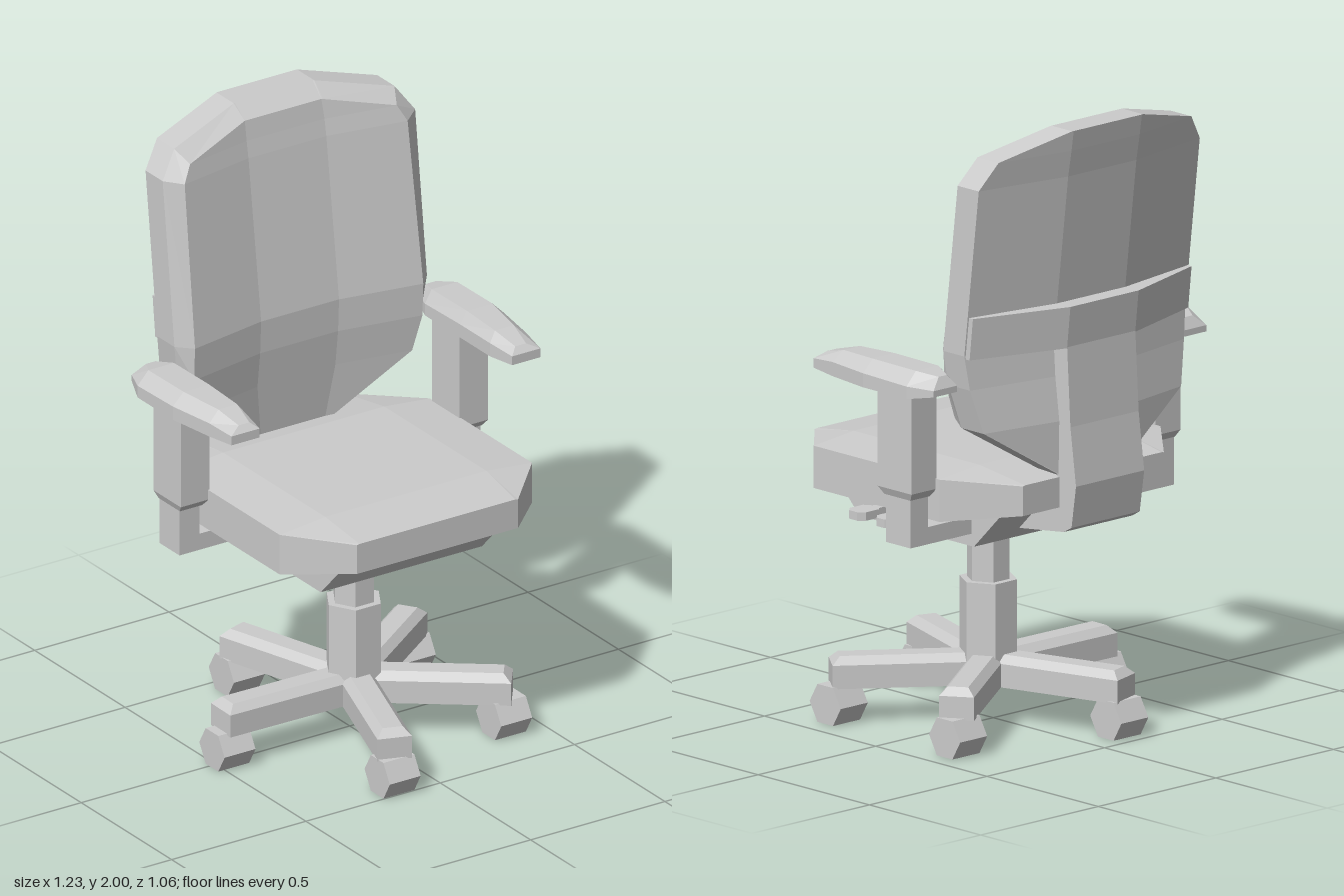
import * as THREE from 'three';

const grey = new THREE.MeshStandardMaterial({ color: 0xcccccc, flatShading: true });

function mesh(name, geometry) {
  const m = new THREE.Mesh(geometry, grey);
  m.name = name;
  return m;
}

// Closed solid from stacked grids of points. Each layer is rows of [x, y, z];
// the first layer faces the viewer, with rows running down and columns right.
function slab(layers) {
  const pos = [];
  const quad = (a, b, c, d) => pos.push(...a, ...b, ...c, ...a, ...c, ...d);
  const cap = (g, flip) => {
    for (let r = 0; r < g.length - 1; r++) {
      for (let c = 0; c < g[r].length - 1; c++) {
        const q = [g[r][c], g[r + 1][c], g[r + 1][c + 1], g[r][c + 1]];
        quad(...(flip ? q.reverse() : q));
      }
    }
  };
  const rim = (g) => [
    ...g[0],
    ...g.slice(1, -1).map((row) => row[row.length - 1]),
    ...[...g[g.length - 1]].reverse(),
    ...g.slice(1, -1).map((row) => row[0]).reverse(),
  ];
  cap(layers[0], false);
  cap(layers[layers.length - 1], true);
  for (let l = 0; l < layers.length - 1; l++) {
    const a = rim(layers[l]), b = rim(layers[l + 1]);
    a.forEach((p, i) => {
      const j = (i + 1) % a.length;
      quad(p, a[j], b[j], b[i]);
    });
  }
  const geo = new THREE.BufferGeometry();
  geo.setAttribute('position', new THREE.Float32BufferAttribute(pos, 3));
  geo.computeVertexNormals();
  return geo;
}

// Horizontal rectangle layer
const rect = (y, x0, x1, z0, z1) => [
  [[x0, y, z0], [x1, y, z0]],
  [[x0, y, z1], [x1, y, z1]],
];

function createBase() {
  const base = new THREE.Group();
  base.name = 'base';
  const cz = 0.022;
  for (let i = 0; i < 5; i++) {
    const a = THREE.MathUtils.degToRad(109 + 72 * i);
    // Leg with bevelled top
    const leg = mesh('baseLeg', slab([
      rect(0.215, 0, 0.465, -0.032, 0.032),
      rect(0.19, 0, 0.49, -0.055, 0.055),
      rect(0.115, 0, 0.49, -0.055, 0.055),
    ]));
    leg.rotation.y = -a;
    leg.position.z = cz;
    // Hexagonal wheel
    const wheel = mesh('caster', new THREE.CylinderGeometry(0.07, 0.07, 0.115, 6).rotateZ(Math.PI / 2));
    wheel.position.set(0.465 * Math.cos(a), 0.0606, cz + 0.465 * Math.sin(a));
    base.add(leg, wheel);
  }
  // Two-stage gas column
  for (const [name, r, y0, y1] of [['lowerColumn', 0.093, 0.117, 0.445], ['upperColumn', 0.069, 0.44, 0.66]]) {
    const c = mesh(name, new THREE.CylinderGeometry(r, r, y1 - y0, 6).rotateY(Math.PI / 6));
    c.position.set(0, (y0 + y1) / 2, cz);
    base.add(c);
  }
  return base;
}

function createSeat() {
  const seat = new THREE.Group();
  seat.name = 'seat';
  // Rows back to front: z, half width, inner half width, outer top, inner top, bottom
  const rows = [
    [-0.45, 0.3, 0.29, 0.88, 0.882, 0.785],
    [-0.255, 0.47, 0.3, 0.895, 0.912, 0.76],
    [0.31, 0.47, 0.3, 0.895, 0.912, 0.76],
    [0.485, 0.3, 0.29, 0.883, 0.885, 0.785],
  ];
  const top = rows.map(([z, w, i, yo, yi]) => [[-w, yo, z], [-i, yi, z], [i, yi, z], [w, yo, z]]);
  const bottom = rows.map(([z, w, i, , , y]) => [-w, -i, i, w].map((x) => [x, y, z]));
  seat.add(mesh('cushion', slab([top, bottom])));
  // Mechanism housing
  seat.add(mesh('seatPan', slab([
    rect(0.775, -0.3, 0.3, -0.36, 0.41),
    rect(0.645, -0.3, 0.3, -0.23, 0.285),
  ])));
  // Adjustment levers
  for (const z of [0.143, 0.02]) {
    seat.add(mesh('leverStem', slab([
      rect(0.713, 0.28, 0.39, z - 0.018, z + 0.018),
      rect(0.692, 0.28, 0.39, z - 0.018, z + 0.018),
    ])));
    const paddle = [[-0.037, 0.385, 0.44], [-0.018, 0.37, 0.46], [0.018, 0.37, 0.46], [0.037, 0.385, 0.44]];
    seat.add(mesh('leverPaddle', slab([0.716, 0.689].map((y) =>
      paddle.map(([dz, x0, x1]) => [[x0, y, z + dz], [x1, y, z + dz]])))));
  }
  return seat;
}

function createArm(side) {
  const arm = new THREE.Group();
  arm.name = side > 0 ? 'leftArm' : 'rightArm';
  // Mirror points while keeping the faces outward
  const part = (name, layers) => arm.add(mesh(name, slab(layers.map((g) =>
    g.map((row) => {
      const out = row.map(([x, y, z]) => [side * x, y, z]);
      return side > 0 ? out : out.reverse();
    })))));
  part('armBracket', [rect(0.74, 0.28, 0.56, -0.22, -0.11), rect(0.685, 0.28, 0.56, -0.22, -0.11)]);
  part('lowerArmPost', [rect(0.87, 0.485, 0.56, -0.22, -0.11), rect(0.7, 0.485, 0.56, -0.22, -0.11)]);
  part('upperArmPost', [
    rect(1.2, 0.465, 0.572, -0.237, -0.085),
    rect(0.862, 0.465, 0.572, -0.237, -0.085),
    rect(0.838, 0.48, 0.562, -0.222, -0.105),
  ]);
  // Pad rows back to front: z, top z, inner x, outer x, bottom, edge and top heights
  const pad = [
    [-0.345, -0.325, 0.48, 0.58, 1.195, 1.215, 1.25],
    [-0.26, -0.26, 0.455, 0.615, 1.18, 1.22, 1.263],
    [-0.065, -0.065, 0.455, 0.615, 1.18, 1.225, 1.265],
    [0.1, 0.09, 0.455, 0.59, 1.18, 1.225, 1.258],
    [0.2, 0.18, 0.47, 0.575, 1.185, 1.215, 1.235],
  ];
  part('armPad', [
    pad.map(([, z, a, b, , , y]) => [[a + 0.025, y, z], [b - 0.04, y, z]]),
    pad.map(([z, , a, b, , y]) => [[a, y, z], [b, y, z]]),
    pad.map(([z, , a, b, y]) => [[a, y, z], [b, y, z]]),
  ]);
  return arm;
}

function createBack() {
  const back = new THREE.Group();
  back.name = 'backrest';
  // Layer from rows of [y, half width, centre z]; sides wrap forward
  const layer = (rows) => rows.map(([y, w, z]) => {
    const i = Math.min(0.145, w - 0.005);
    return [-w, -i, i, w].map((x) => [x, y, z + 0.18 * Math.max(0, Math.abs(x) - 0.145)]);
  });
  const front = [
    [1.96, 0.145, -0.365], [1.895, 0.385, -0.355], [1.84, 0.415, -0.345], [1.31, 0.425, -0.275],
    [1.2, 0.425, -0.28], [1.08, 0.4, -0.295], [0.88, 0.12, -0.32],
  ];
  const edge = [
    [2.0, 0.15, -0.42], [1.935, 0.41, -0.41], [1.85, 0.47, -0.395], [1.31, 0.47, -0.33],
    [1.2, 0.455, -0.335], [1.06, 0.42, -0.35], [0.88, 0.13, -0.37],
  ];
  const rearZ = [-0.515, -0.505, -0.49, -0.425, -0.432, -0.45, -0.45];
  const rear = edge.map(([y, w], i) => [y, w, rearZ[i]]);
  back.add(mesh('backCushion', slab([layer(front), layer(edge), layer(rear)])));
  // Lumbar band wrapping the rear
  const band = (y, zSide, zMid) => [[-0.465, y, zSide], [-0.145, y, zMid], [0.145, y, zMid], [0.465, y, zSide]];
  back.add(mesh('lumbarBand', slab([
    [band(1.435, -0.35, -0.4), band(1.3, -0.34, -0.39)],
    [band(1.435, -0.4, -0.5), band(1.3, -0.385, -0.485)],
  ])));
  // Curved spine down to the seat mechanism, profile in (-z, y)
  const profile = [
    [0.27, 0.685], [0.47, 0.71], [0.505, 0.73], [0.525, 0.865], [0.5, 1.05], [0.485, 1.31],
    [0.4, 1.31], [0.42, 1.05], [0.44, 0.88], [0.43, 0.785], [0.27, 0.765],
  ];
  const shape = new THREE.Shape(profile.map(([x, y]) => new THREE.Vector2(x, y)));
  const spine = new THREE.ExtrudeGeometry(shape, { depth: 0.29, bevelEnabled: false });
  back.add(mesh('spine', spine.rotateY(Math.PI / 2).translate(-0.145, 0, 0)));
  return back;
}

export function createModel() {
  const chair = new THREE.Group();
  chair.name = 'officeChair';
  chair.add(createBase(), createSeat(), createArm(1), createArm(-1), createBack());
  return chair;
}
